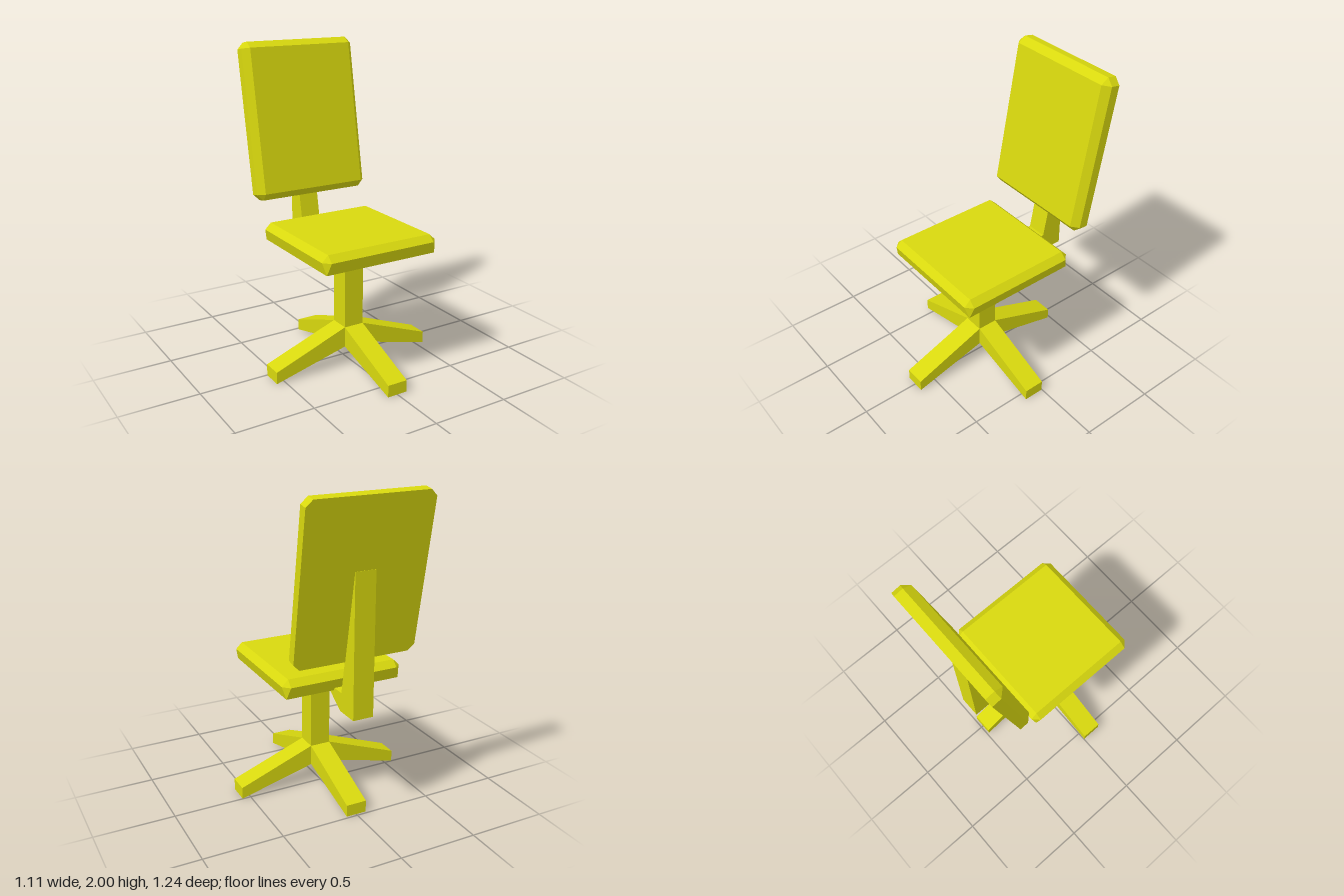
import * as THREE from 'three';
import { ConvexGeometry } from 'three/addons/geometries/ConvexGeometry.js';

export function createModel() {
  const model = new THREE.Group();
  model.name = 'swivelChair';
  const yellow = new THREE.MeshStandardMaterial({ color: 0xd8d80e });
  yellow.name = 'yellow';
  const WIDTH = 0.133; // width of all frame bars
  const CENTER_Z = 0.069; // seat and column axis

  function add(name, geometry, parent = model) {
    const mesh = new THREE.Mesh(geometry, yellow);
    mesh.name = name;
    parent.add(mesh);
    return mesh;
  }

  // Flat bar: a side profile given thickness, centred on its own plane
  function bar(points) {
    const shape = new THREE.Shape(points.map(([x, y]) => new THREE.Vector2(x, y)));
    return new THREE.ExtrudeGeometry(shape, { depth: WIDTH, bevelEnabled: false })
      .translate(0, 0, -WIDTH / 2);
  }

  // Bevelled pad from rings of [height, half width, half length, corner cut]
  function pad(rings) {
    const points = [];
    for (const [y, hx, hz, cut] of rings) {
      for (const sx of [-1, 1]) for (const sz of [-1, 1]) {
        points.push(new THREE.Vector3(sx * hx, y, sz * (hz - cut)));
        if (cut > 0) points.push(new THREE.Vector3(sx * (hx - cut), y, sz * hz));
      }
    }
    return new ConvexGeometry(points);
  }

  // Four sloping legs
  const base = new THREE.Group();
  base.name = 'base';
  base.position.z = CENTER_Z;
  model.add(base);
  const legGeometry = bar([[0, 0.127], [0.066, 0.127], [0.554, 0], [0.554, 0.076], [0.066, 0.26], [0, 0.26]]);
  ['leftLeg', 'backLeg', 'rightLeg', 'frontLeg'].forEach((name, i) => {
    add(name, legGeometry, base).rotation.y = i * Math.PI / 2;
  });

  // Column between legs and seat
  const column = add('column', new THREE.BoxGeometry(WIDTH, 0.653, WIDTH), base);
  column.position.y = 0.4535;

  // Seat, narrowing towards its underside
  const seat = add('seat', pad([
    [0.775, 0.38, 0.379, 0],
    [0.85, 0.399, 0.398, 0.041],
    [0.89, 0.358, 0.357, 0],
  ]));
  seat.position.z = CENTER_Z;

  // Bracket and tapering post, profile in depth and height
  const post = add('backrestPost', bar([
    [-0.2, 0.79], [-0.225, 0.775], [-0.39, 0.67], [-0.546, 0.67],
    [-0.546, 1.56], [-0.541, 1.56], [-0.4, 0.79],
  ]));
  post.rotation.y = -Math.PI / 2;

  // Reclined backrest, bevelled on its front
  const backrest = add('backrest', pad([
    [0, 0.399, 0.502, 0.041],
    [0.06, 0.399, 0.502, 0.041],
    [0.104, 0.358, 0.461, 0],
  ]));
  backrest.position.set(0, 1.494, -0.532);
  backrest.rotation.x = 1.392;

  return model;
}
